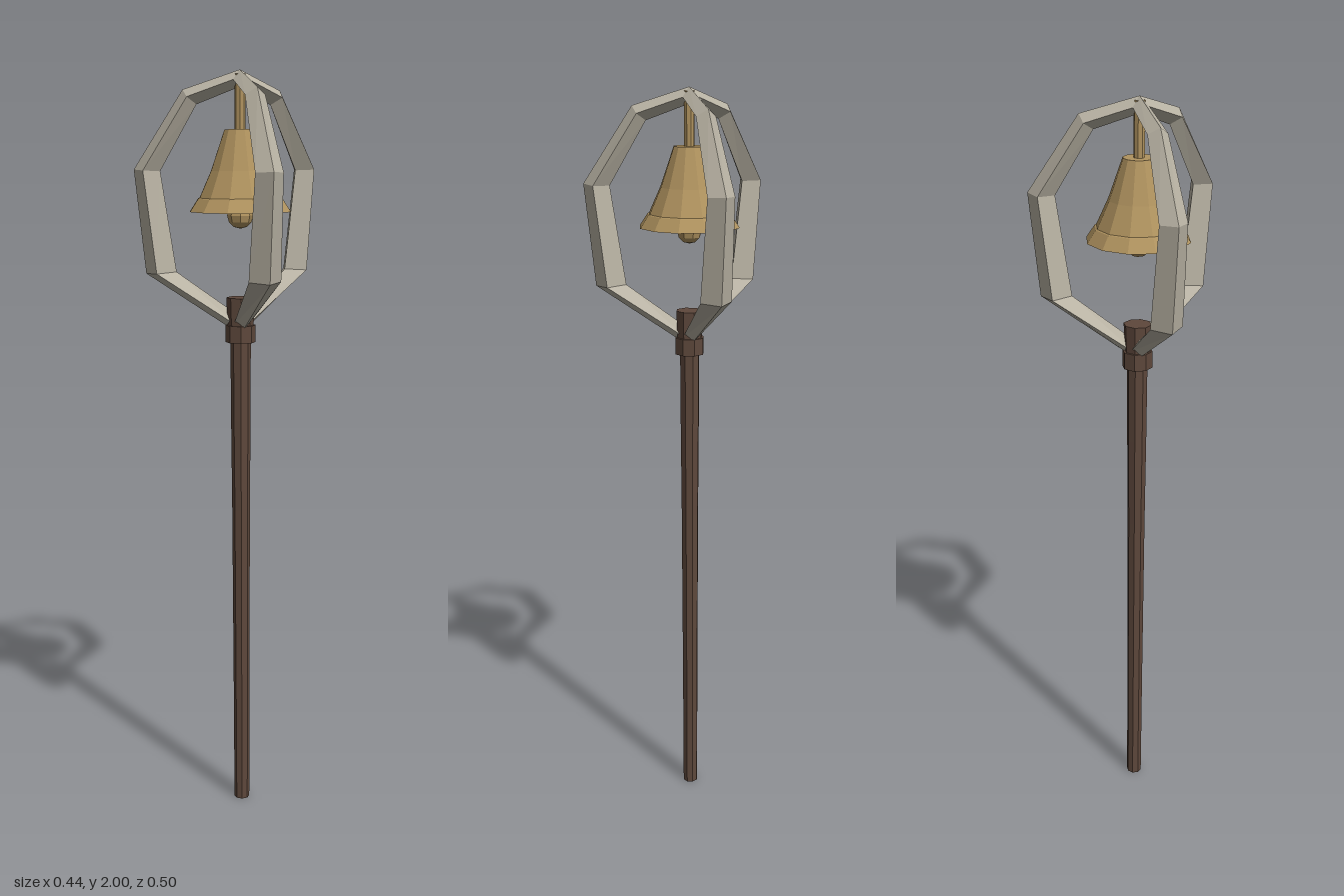
import * as THREE from 'three';

const AXIS_X = -0.066;

// Lofts diamond sections [r, y, size, tilt in degrees] into a closed, faceted bar.
function diamondBar(sections) {
  const rings = sections.map(([r, y, s, tilt]) => {
    const a = THREE.MathUtils.degToRad(tilt);
    const dx = s * Math.cos(a), dy = s * Math.sin(a);
    return [[r + dx, y + dy, 0], [r, y, -s], [r - dx, y - dy, 0], [r, y, s]];
  });
  const pos = [];
  const quad = (a, b, c, d) => pos.push(...a, ...b, ...c, ...a, ...c, ...d);
  for (let i = 0; i < rings.length - 1; i++) {
    for (let k = 0; k < 4; k++) {
      const n = (k + 1) % 4;
      quad(rings[i][k], rings[i][n], rings[i + 1][n], rings[i + 1][k]);
    }
  }
  const end = rings[rings.length - 1];
  quad(rings[0][3], rings[0][2], rings[0][1], rings[0][0]);
  quad(end[0], end[1], end[2], end[3]);
  const geo = new THREE.BufferGeometry();
  geo.setAttribute('position', new THREE.Float32BufferAttribute(pos, 3));
  geo.computeVertexNormals();
  return geo;
}

// Flat facets come from unshared corners.
function faceted(geo) {
  const flat = geo.index ? geo.toNonIndexed() : geo;
  flat.computeVertexNormals();
  return flat;
}

export function createModel() {
  const model = new THREE.Group();
  model.name = 'bellStaff';

  const makeMaterial = (name, color) => {
    const m = new THREE.MeshStandardMaterial({ color });
    m.name = name;
    return m;
  };
  const wood = makeMaterial('darkWood', 0x5e483c);
  const bone = makeMaterial('paleBone', 0xb9b3a4);
  const brass = makeMaterial('brass', 0xb0935f);

  const add = (name, geo, material, y = 0) => {
    const mesh = new THREE.Mesh(faceted(geo), material);
    mesh.name = name;
    mesh.position.set(AXIS_X, y, 0);
    model.add(mesh);
    return mesh;
  };
  const lathe = (points, sides) =>
    new THREE.LatheGeometry(points.map(([r, y]) => new THREE.Vector2(r, y)), sides);

  // Staff, slightly thicker towards the top
  add('pole', lathe([[0, 0], [0.021, 0], [0.022, 0.35], [0.024, 0.85],
    [0.026, 1.1], [0.027, 1.32], [0, 1.32]], 8), wood);
  add('collar', new THREE.CylinderGeometry(0.04, 0.04, 0.045, 8), wood, 1.33);
  add('poleCap', new THREE.CylinderGeometry(0.037, 0.034, 0.085, 8), wood, 1.3825);

  // Three bent ribs forming the cage
  const rib = diamondBar([
    [0.0, 1.35, 0.02, -58],
    [0.215, 1.485, 0.042, -4],
    [0.25, 1.75, 0.036, 3],
    [0.133, 1.934, 0.026, 45],
    [0.0, 1.979, 0.021, 90],
  ]);
  for (let i = 0; i < 3; i++) {
    add('cageRib' + (i + 1), rib.clone(), bone).rotation.y = (i * Math.PI * 2) / 3;
  }

  // Hanging bell with rod and clapper
  add('bellRod', new THREE.CylinderGeometry(0.014, 0.014, 0.15, 8), brass, 1.915);
  add('bell', lathe([[0, 1.647], [0.134, 1.647], [0.112, 1.68], [0.108, 1.682],
    [0.077, 1.75], [0.041, 1.853], [0, 1.853]], 12), brass);
  add('clapper', new THREE.SphereGeometry(0.034, 8, 6), brass, 1.637);

  return model;
}
